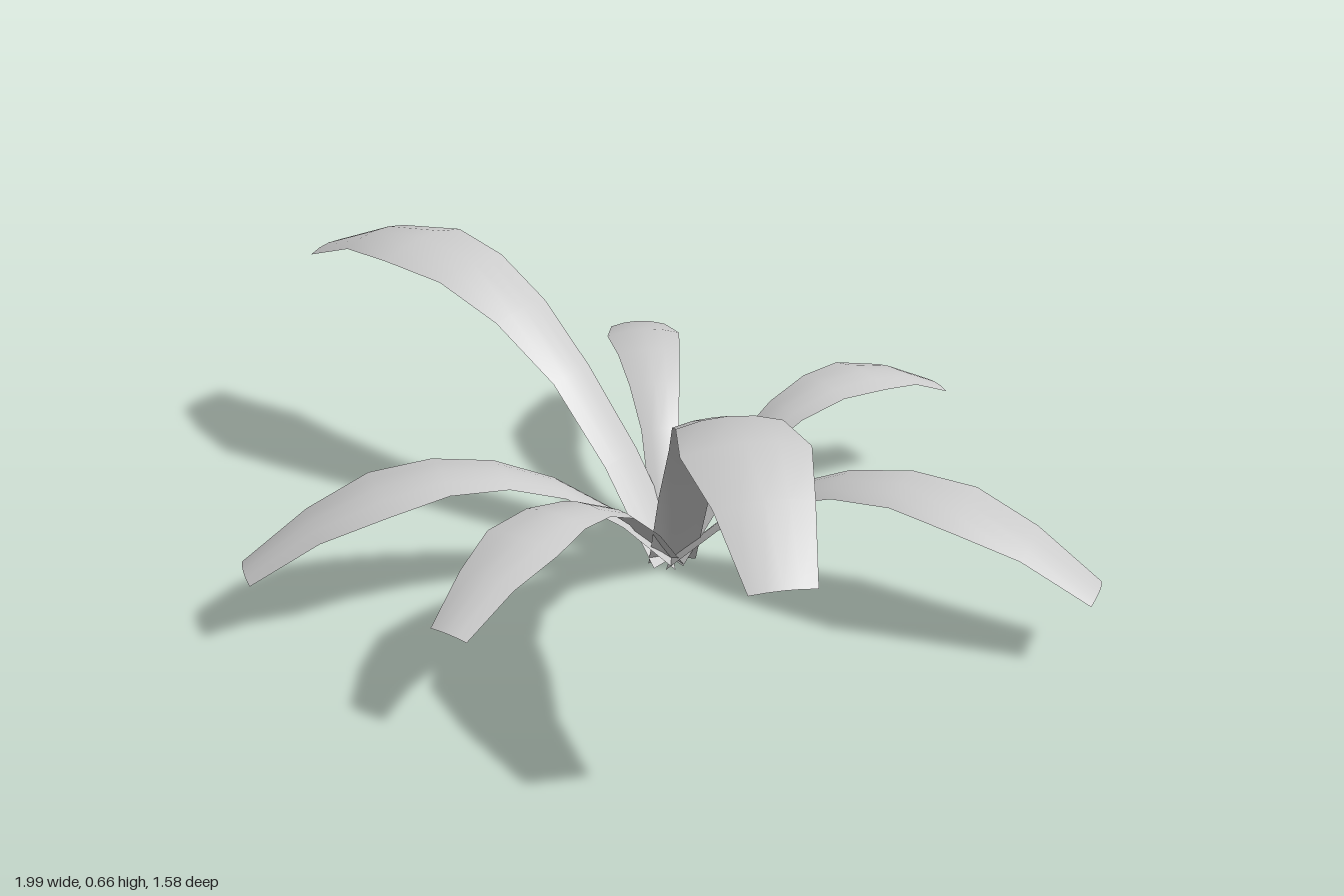
import * as THREE from 'three';

const ROOT = new THREE.Vector3(0.058, 0.012, -0.037);
const ROWS = 7;
// Half width along the leaf, relative to its widest row
const WIDTHS = [0.44, 0.46, 0.5, 0.67, 0.84, 1, 0.76, 0.51];

// Tip position, height of the arch's top, half width at the widest row
const LEAVES = [
  { name: 'tallLeftLeaf', tip: [-1, 0.515, -0.035], top: 0.612, half: 0.125 },
  { name: 'tallFrontRightLeaf', tip: [0.787, 0.535, 0.605], top: 0.668, half: 0.124 },
  { name: 'frontLeaf', tip: [0.112, 0.243, 0.75], top: 0.343, half: 0.088 },
  { name: 'frontLeftLeaf', tip: [-0.468, 0.165, 0.76], top: 0.33, half: 0.103 },
  { name: 'backLeftLeaf', tip: [-0.49, 0.24, -0.588], top: 0.34, half: 0.088 },
  { name: 'backLeaf', tip: [0.29, 0.238, -0.783], top: 0.34, half: 0.088 },
  { name: 'rightLeaf', tip: [0.985, 0.165, -0.278], top: 0.325, half: 0.104 },
];

// A strip bent along an arching curve, slightly crowned across its width
function leafGeometry({ tip, top, half }) {
  const end = new THREE.Vector3(...tip);
  const rise = top - ROOT.y;
  const control = ROOT.clone().lerp(end, 0.45);
  control.y = ROOT.y + rise + Math.sqrt(rise * rise - rise * (end.y - ROOT.y));
  const spine = new THREE.QuadraticBezierCurve3(ROOT, control, end);

  const out = end.clone().sub(ROOT).setY(0).normalize();
  const side = new THREE.Vector3(-out.z, 0, out.x);

  const geometry = new THREE.PlaneGeometry(2, 1, 4, ROWS);
  const pos = geometry.attributes.position;
  for (let i = 0; i < pos.count; i++) {
    const u = pos.getX(i);
    const row = Math.round((pos.getY(i) + 0.5) * ROWS);
    const t = row / ROWS;
    const w = half * WIDTHS[row];
    const normal = side.clone().cross(spine.getTangent(t));
    const p = spine.getPoint(t)
      .addScaledVector(side, u * w)
      .addScaledVector(normal, -0.16 * w * u * u);
    pos.setXYZ(i, p.x, p.y, p.z);
  }
  geometry.computeVertexNormals();
  return geometry;
}

export function createModel() {
  const plant = new THREE.Group();
  plant.name = 'plant';
  const material = new THREE.MeshStandardMaterial({ color: 0xcccccc, side: THREE.DoubleSide });
  for (const leaf of LEAVES) {
    const mesh = new THREE.Mesh(leafGeometry(leaf), material);
    mesh.name = leaf.name;
    plant.add(mesh);
  }
  return plant;
}
